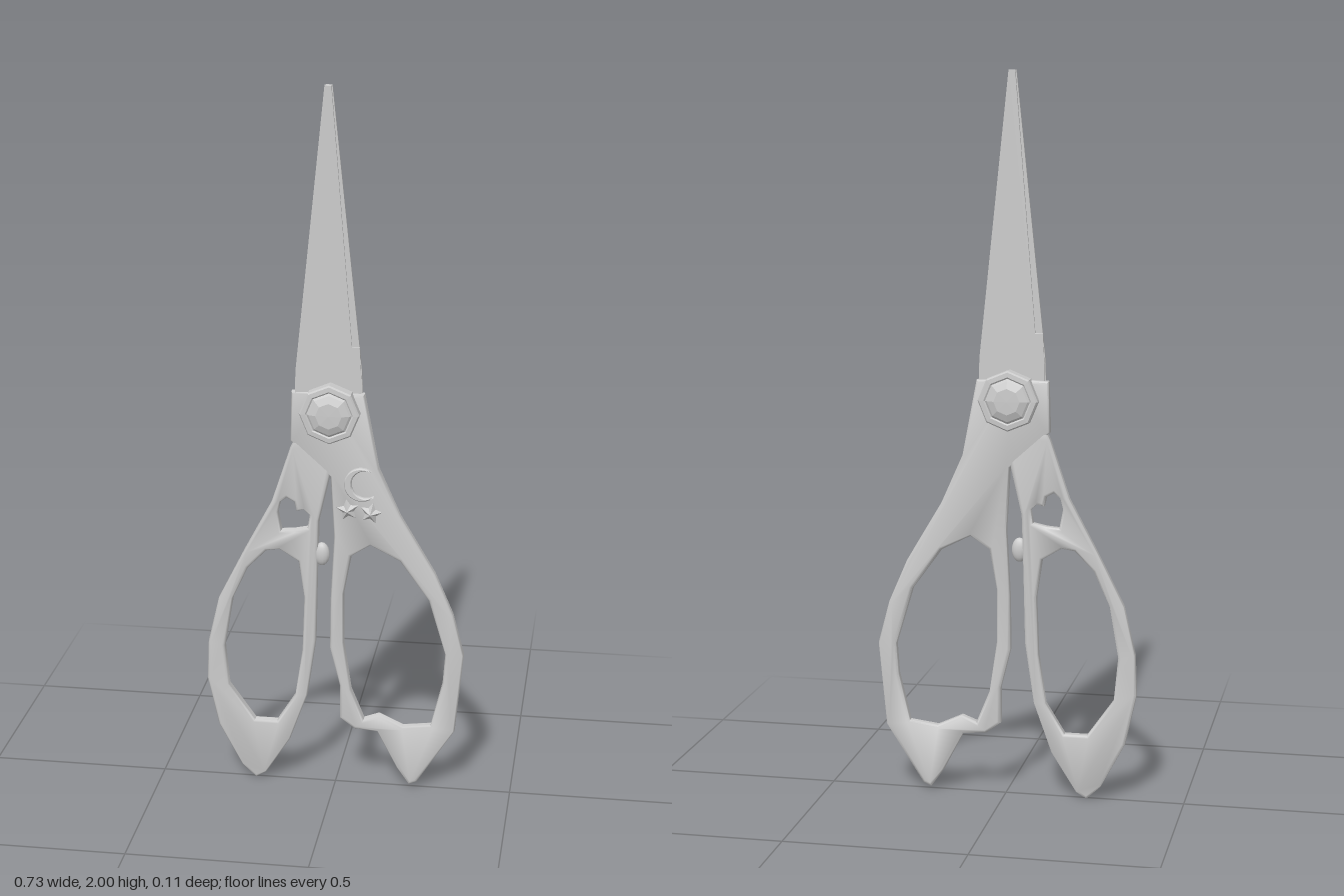
import * as THREE from 'three';
import { toCreasedNormals } from 'three/addons/utils/BufferGeometryUtils.js';

const toPoints = (pts) => pts.map(([x, y]) => new THREE.Vector2(x, y));

// Plate cut from an outline, with rounded edges, between z0 and z1
function plate(outline, holes, z0, z1, bevel) {
  const shape = new THREE.Shape(toPoints(outline));
  holes.forEach((h) => shape.holes.push(new THREE.Path(toPoints(h))));
  const geo = new THREE.ExtrudeGeometry(shape, {
    depth: z1 - z0 - 2 * bevel, bevelThickness: bevel, bevelSize: bevel,
    bevelOffset: -bevel, bevelSegments: 3, curveSegments: 12,
  });
  geo.translate(0, 0, z0 + bevel);
  return toCreasedNormals(geo, 0.9);
}

export function createModel() {
  const group = new THREE.Group();
  const smooth = new THREE.MeshStandardMaterial({ color: 0xcccccc });
  const faceted = new THREE.MeshStandardMaterial({ color: 0xcccccc, flatShading: true });
  const add = (name, geo, mat = smooth, x = 0, y = 0, z = 0) => {
    const mesh = new THREE.Mesh(geo, mat);
    mesh.name = name;
    mesh.position.set(x, y, z);
    group.add(mesh);
    return mesh;
  };

  // Left handle, carrying the wide joint plate
  add('leftHandle', plate([
    [-0.12, 1.17], [-0.124, 1.03], [-0.013, 0.93], [-0.003, 0.757], [-0.013, 0.57],
    [-0.015, 0.42], [0.013, 0.307], [0.013, 0.206], [0.055, 0.175], [0.12, 0.17],
    [0.177, 0.06], [0.212, 0.01], [0.235, 0.02], [0.34, 0.185], [0.362, 0.42],
    [0.33, 0.54], [0.278, 0.66], [0.18, 0.825], [0.12, 0.96], [0.08, 1.17], [-0.02, 1.175],
  ], [[
    [0.098, 0.735], [0.18, 0.693], [0.262, 0.58], [0.31, 0.42], [0.304, 0.333],
    [0.272, 0.2], [0.193, 0.19], [0.124, 0.222], [0.082, 0.206], [0.045, 0.296],
    [0.024, 0.44], [0.024, 0.587], [0.045, 0.7],
  ]], -0.017, 0.013, 0.009));

  // Right handle, with a small heart-shaped cutout above the finger hole
  add('rightHandle', plate([
    [-0.1, 1.06], [-0.124, 1.01], [-0.177, 0.85], [-0.257, 0.7], [-0.33, 0.555],
    [-0.362, 0.42], [-0.367, 0.307], [-0.336, 0.164], [-0.27, 0.04], [-0.23, 0.002],
    [-0.2, 0.02], [-0.13, 0.13], [-0.08, 0.27], [-0.055, 0.44], [-0.05, 0.65],
    [-0.045, 0.8], [-0.015, 0.93], [0, 1.03],
  ], [[
    [-0.156, 0.71], [-0.103, 0.677], [-0.087, 0.57], [-0.093, 0.41], [-0.114, 0.27],
    [-0.167, 0.185], [-0.23, 0.185], [-0.304, 0.29], [-0.315, 0.41], [-0.29, 0.555],
    [-0.246, 0.65], [-0.193, 0.704],
  ], [
    [-0.15, 0.767], [-0.16, 0.82], [-0.152, 0.85], [-0.135, 0.863], [-0.114, 0.852],
    [-0.108, 0.825], [-0.088, 0.83], [-0.071, 0.815], [-0.077, 0.778], [-0.115, 0.77],
  ]], -0.0165, 0.0125, 0.008));

  // Blades: one outline, turned half round the centre line for the other side
  const axis = -0.018;
  for (const [name, turn] of [['frontBlade', 0], ['backBlade', Math.PI]]) {
    const geo = plate([
      [-0.01, 0], [-0.09, -0.77], [-0.094, -0.9], [0.088, -0.9], [0.088, -0.78],
      [0.084, -0.7], [0.063, -0.7], [0.008, 0],
    ], [], 0.0005, 0.0095, 0.001);
    // Thin the blade towards its cutting edge
    const p = geo.attributes.position;
    for (let i = 0; i < p.count; i++) {
      const edge = THREE.MathUtils.clamp((p.getX(i) + 0.09) / 0.18, 0, 1);
      p.setZ(i, p.getZ(i) * (1 - 0.5 * edge));
    }
    geo.computeVertexNormals();
    add(name, geo, smooth, axis, 2, 0).rotation.y = turn;
  }

  // Eight-sided pivot screw with domed caps on both sides
  const half = [[0.083, 0.038], [0.079, 0.043], [0.066, 0.044], [0.062, 0.041], [0.056, 0.046], [0.036, 0.054], [0, 0.055]];
  const profile = [...half.map(([r, y]) => [r, -y]).reverse(), ...half];
  const screw = new THREE.LatheGeometry(toPoints(profile), 8);
  screw.rotateX(Math.PI / 2);
  add('pivotScrew', screw, faceted, -0.012, 1.117, -0.001);

  // Stop knob between the handles
  add('stopKnob', new THREE.SphereGeometry(1, 14, 10), smooth, -0.038, 0.7, 0).scale.set(0.022, 0.034, 0.015);

  // Crescent ornament
  const moon = new THREE.Shape();
  moon.absarc(0, 0, 0.047, 0.87, Math.PI * 2 - 0.87, false);
  moon.absarc(0.012, 0, 0.0403, -1.103, 1.103, true);
  const moonGeo = new THREE.ExtrudeGeometry(moon, {
    depth: 0.013, bevelThickness: 0.004, bevelSize: 0.003, bevelOffset: -0.002, bevelSegments: 1, curveSegments: 14,
  });
  add('crescentOrnament', toCreasedNormals(moonGeo, 0.6), smooth, 0.074, 0.915, 0.008).rotation.z = 0.1;

  // Faceted star ornaments: a ten-sided cone with alternate corners pulled in
  for (const [x, y, tilt] of [[0.036, 0.838, 0.15], [0.1, 0.832, -0.2]]) {
    const star = new THREE.ConeGeometry(0.036, 0.024, 10);
    const p = star.attributes.position;
    for (let i = 0; i < p.count; i++) {
      const step = Math.round(Math.atan2(p.getX(i), p.getZ(i)) / (Math.PI / 5));
      if (step % 2 === 0) {
        p.setX(i, p.getX(i) * 0.52);
        p.setZ(i, p.getZ(i) * 0.52);
      }
    }
    star.rotateX(Math.PI / 2);
    add('starOrnament', star, faceted, x, y, 0.022).rotation.z = tilt;
  }

  return group;
}
